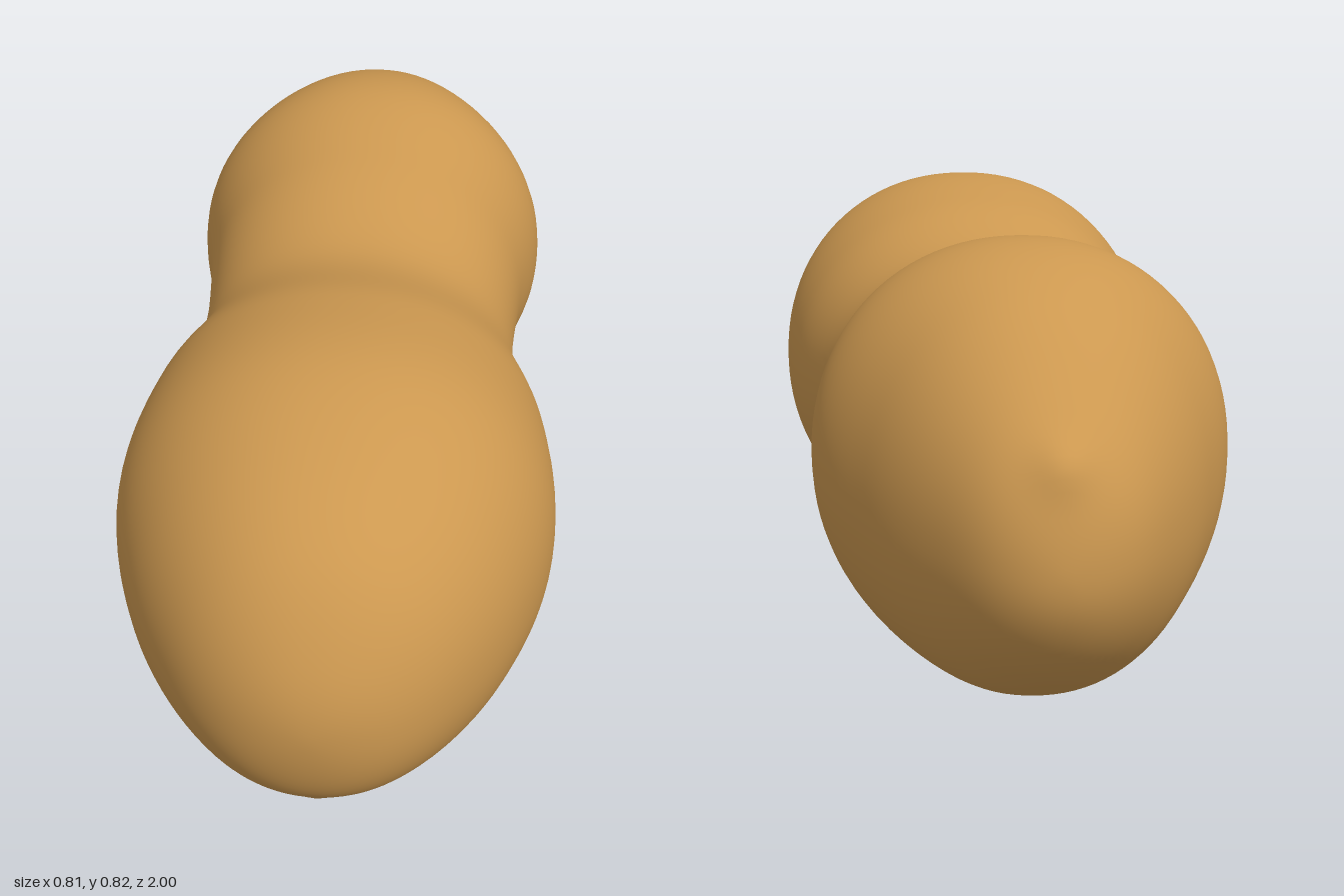
import * as THREE from 'three';

const shellMaterial = new THREE.MeshStandardMaterial({ color: 0xcc9850 });
shellMaterial.name = 'tan shell';

// Outline heights and half widths at z = cos(k * PI / 12), front to back
const TOP = [0.39, 0.53, 0.67, 0.76, 0.808, 0.78, 0.715, 0.78, 0.825, 0.77, 0.65, 0.53, 0.38];
const BOTTOM = [0.39, 0.235, 0.135, 0.062, 0.008, 0.033, 0.135, 0.122, 0.05, 0.062, 0.155, 0.265, 0.38];
const HALF = [0, 0.135, 0.25, 0.345, 0.402, 0.39, 0.325, 0.335, 0.374, 0.295, 0.2, 0.11, 0];

// Closed smooth loop: out along one side, back along the other
function loop(there, back) {
  const values = [...there, ...back.slice(1, -1).reverse()];
  const n = values.length;
  return (t) => {
    const f = (t / (2 * Math.PI)) * n;
    const k = Math.floor(f);
    const u = f - k;
    const at = (i) => values[(i + n) % n];
    const [a, b, c, d] = [at(k - 1), at(k), at(k + 1), at(k + 2)];
    return b + 0.5 * u * (c - a + u * (2 * a - 5 * b + 4 * c - d + u * (3 * (b - c) + d - a)));
  };
}

function shellGeometry(rings = 96, sides = 96) {
  const height = loop(TOP, BOTTOM);
  const width = loop(HALF, HALF.map((w) => -w));
  const tips = [new THREE.Vector3(0, 0.13, 0.875), new THREE.Vector3(0, 0.55, -0.955)];
  const positions = [];
  const index = [];
  const squarish = (v) => Math.sign(v) * Math.abs(v) ** 0.95;

  for (let i = 0; i <= rings; i++) {
    const t = (i / rings) * Math.PI;
    const top = height(t);
    const bottom = height((2 * Math.PI - t) % (2 * Math.PI));
    const count = i === 0 || i === rings ? 1 : sides;
    for (let j = 0; j < count; j++) {
      const a = (j / sides) * 2 * Math.PI;
      const p = new THREE.Vector3(
        width(t) * squarish(Math.cos(a)),
        (top + bottom) / 2 + ((top - bottom) / 2) * squarish(Math.sin(a)),
        Math.cos(t)
      );
      // Small nub at each end of the shell
      for (const tip of tips) {
        const out = new THREE.Vector3(0, tip.y - 0.4, tip.z * 0.4).normalize();
        p.addScaledVector(out, 0.014 * Math.exp(-((p.distanceTo(tip) / 0.045) ** 2)));
      }
      positions.push(p.x, p.y, p.z);
    }
  }

  const id = (i, j) => {
    if (i === 0) return 0;
    if (i === rings) return 1 + (rings - 1) * sides;
    return 1 + (i - 1) * sides + (j % sides);
  };
  for (let i = 0; i < rings; i++) {
    for (let j = 0; j < sides; j++) {
      const a = id(i, j), b = id(i + 1, j), c = id(i, j + 1), d = id(i + 1, j + 1);
      if (i > 0) index.push(a, b, c);
      if (i < rings - 1) index.push(c, b, d);
      // At the back tip b and d coincide, so the first triangle closes it;
      // at the front tip a and c coincide, so the second one does.
    }
  }

  const geometry = new THREE.BufferGeometry();
  geometry.setAttribute('position', new THREE.Float32BufferAttribute(positions, 3));
  geometry.setIndex(index);
  geometry.computeVertexNormals();
  return geometry;
}

export function createModel() {
  const group = new THREE.Group();
  group.name = 'peanut';
  const shell = new THREE.Mesh(shellGeometry(), shellMaterial);
  shell.name = 'shell';
  group.add(shell);
  return group;
}
